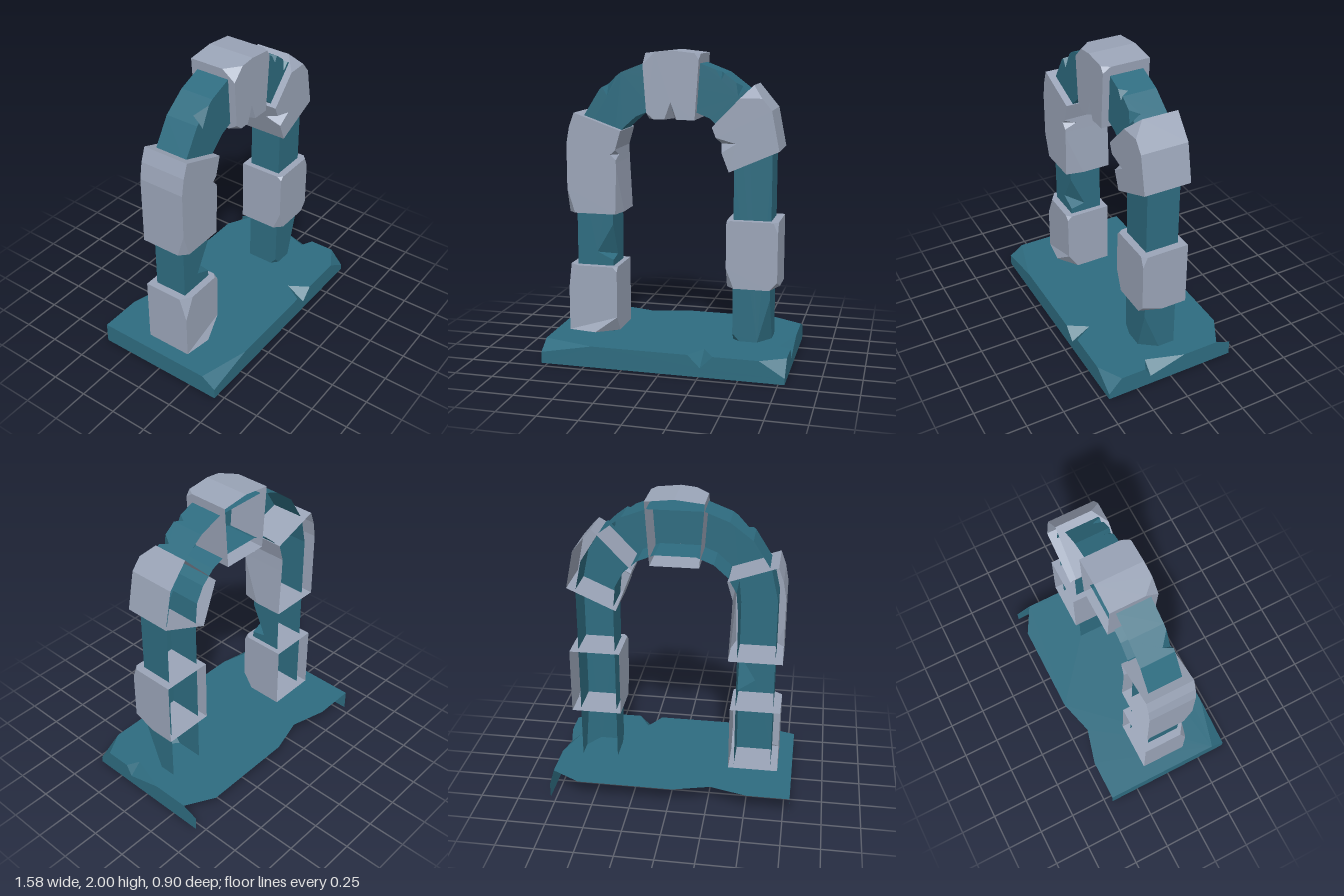
import * as THREE from 'three';

const V2 = (x, y) => new THREE.Vector2(x, y);

// Open-backed faceted shell: a cap at depth `front` and walls running to `back`.
// corners: [x, y, options], counter-clockwise.
//   cut:   [along previous edge, along next edge, depth, lift] chips the corner
//   notch: [start, end, apexX, apexY, deepest, depth] breaks the next edge
//   open:  no wall on the next edge;  bare: leaves the chip unfilled
function shell(corners, front, back) {
  const pos = [];
  const tri = (...pts) => pts.forEach((p) => pos.push(p.x, p.y, p.z));
  const n = corners.length;
  const data = corners.map(([x, y, o = {}], i) => {
    const at = V2(x, y);
    const [px, py] = corners[(i + n - 1) % n];
    const [nx, ny] = corners[(i + 1) % n];
    const toPrev = V2(px - x, py - y).normalize();
    const toNext = V2(nx - x, ny - y);
    const len = toNext.length();
    return { at, o, toPrev, dir: toNext.normalize(), len };
  });
  const cap = [];
  data.forEach((c, i) => {
    const next = data[(i + 1) % n];
    const point = (s, w) => new THREE.Vector3(c.at.x + c.dir.x * s, c.at.y + c.dir.y * s, w);
    // corner chip
    if (c.o.cut) {
      const [da, db, depth, lift = 0] = c.o.cut;
      const a = new THREE.Vector3(c.at.x + c.toPrev.x * da, c.at.y + c.toPrev.y * da, front + lift);
      const b = point(db, front);
      cap.push(a, b);
      if (!c.o.bare) tri(a, point(0, front - depth), b);
    } else cap.push(point(0, front));
    // wall outline in (distance along edge, depth)
    const wall = [V2(0, back), V2(c.len, back)];
    if (next.o.cut) {
      const [da, , depth, lift = 0] = next.o.cut;
      wall.push(V2(c.len, front - depth), V2(c.len - da, front + lift));
    } else wall.push(V2(c.len, front));
    // edge notch
    if (c.o.notch) {
      const [s, e, qx, qy, m, depth] = c.o.notch;
      const p = point(s, front), r = point(e, front), d = point(m, front - depth);
      const q = new THREE.Vector3(qx, qy, front);
      cap.push(p, q, r);
      tri(p, d, q);
      tri(d, r, q);
      wall.push(V2(e, front), V2(m, front - depth), V2(s, front));
    }
    if (c.o.cut) wall.push(V2(c.o.cut[1], front), V2(0, front - c.o.cut[2]));
    else wall.push(V2(0, front));
    if (!c.o.open) {
      THREE.ShapeUtils.triangulateShape(wall, []).forEach((f) =>
        tri(...f.map((k) => point(wall[k].x, wall[k].y))));
    }
  });
  THREE.ShapeUtils.triangulateShape(cap.map((p) => V2(p.x, p.y)), []).forEach((f) =>
    tri(...f.map((k) => cap[k])));
  const geo = new THREE.BufferGeometry();
  geo.setAttribute('position', new THREE.Float32BufferAttribute(pos, 3));
  geo.computeVertexNormals();
  return geo;
}

export function createModel() {
  const group = new THREE.Group();
  const teal = new THREE.MeshStandardMaterial({ color: 0x2e6c80, side: THREE.DoubleSide, flatShading: true });
  teal.name = 'teal stone';
  const grey = new THREE.MeshStandardMaterial({ color: 0x9ba5b8, side: THREE.DoubleSide, flatShading: true });
  grey.name = 'grey stone';
  const add = (name, geo, mat) => {
    const mesh = new THREE.Mesh(geo, mat);
    mesh.name = name;
    group.add(mesh);
  };

  // Base slab: the cap is its top, the back and underside are open
  const base = shell([
    [-0.79, -0.45, { cut: [0.095, 0.34, 0.065], notch: [0.97, 1.13, 0.26, -0.32, 1.05, 0.08] }],
    [0.79, -0.45, { cut: [0.16, 0.09, 0.1], notch: [0.26, 0.55, 0.71, -0.15, 0.3, 0.075] }],
    [0.79, 0.45, { cut: [0.105, 0.19, 0.04], bare: true, open: true }],
    [-0.03, 0.45, { open: true }],
    [-0.27, 0.385, { open: true }],
    [-0.51, 0.45, { open: true }],
    [-0.79, 0.45],
  ], 0.14, 0);
  base.rotateX(-Math.PI / 2);
  add('baseSlab', base, teal);

  // Posts and arch in one hollow band
  add('archBand', shell([
    [0.642, 0.14, { cut: [0.08, 0.29, 0.11] }],
    [0.642, 1.36], [0.6, 1.56],
    [0.48, 1.75, { notch: [0.02, 0.09, 0.42, 1.72, 0.05, 0.06] }],
    [0.335, 1.86, { notch: [0.0001, 0.06, 0.315, 1.82, 0.03, 0.05] }],
    [0.18, 1.92], [-0.18, 1.92],
    [-0.335, 1.86, { notch: [0.04, 0.16, -0.43, 1.71, 0.13, 0.06] }],
    [-0.48, 1.75], [-0.6, 1.56], [-0.645, 1.36],
    [-0.645, 0.14, { open: true }],
    [-0.4, 0.14, { notch: [0.49, 0.73, -0.51, 0.68, 0.51, 0.1] }],
    [-0.4, 1.25], [-0.385, 1.4], [-0.33, 1.5], [-0.24, 1.58], [-0.13, 1.625],
    [0.13, 1.625], [0.24, 1.58], [0.33, 1.5], [0.385, 1.4], [0.4, 1.25],
    [0.4, 0.14, { cut: [0.05, 0.045, 0.04], open: true }],
  ], 0.118, -0.105), teal);

  // Grey blocks wrapped around the band
  const blocks = {
    rightLowerBlock: [
      [-0.695, 0.146],
      [-0.365, 0.146, { cut: [0.145, 0.105, 0.07, 0.028] }],
      [-0.365, 0.59, { cut: [0.03, 0.03, 0.03] }],
      [-0.695, 0.59, { cut: [0.07, 0.15, 0.05] }],
    ],
    rightUpperBlock: [
      [-0.695, 0.945, { cut: [0.16, 0.05, 0.05] }],
      [-0.345, 0.945, { cut: [0.025, 0.3, 0.12] }],
      [-0.362, 1.28, { notch: [0.02, 0.085, -0.4, 1.335, 0.05, 0.08] }],
      [-0.365, 1.37], [-0.33, 1.49], [-0.642, 1.6], [-0.675, 1.51], [-0.695, 1.4],
    ],
    keystone: [
      [-0.155, 1.57, { cut: [0.04, 0.045, 0.06], notch: [0.115, 0.195, 0, 1.68, 0.155, 0.1] }],
      [0.155, 1.57],
      [0.183, 1.98, { cut: [0.035, 0.03, 0.05] }],
      [0, 2],
      [-0.185, 1.98, { cut: [0.085, 0.07, 0.085] }],
    ],
    leftUpperBlock: [
      [0.375, 1.25], [0.69, 1.39], [0.64, 1.64],
      [0.515, 1.79, { cut: [0.1, 0.11, 0.075] }],
      [0.265, 1.53, { notch: [0.07, 0.17, 0.42, 1.43, 0.12, 0.1] }],
    ],
    leftMiddleBlock: [
      [0.362, 0.503, { cut: [0.13, 0.05, 0.05] }],
      [0.692, 0.503, { cut: [0.05, 0.055, 0.14] }],
      [0.692, 0.942, { cut: [0.07, 0.03, 0.03] }],
      [0.362, 0.942, { cut: [0.025, 0.025, 0.03] }],
    ],
  };
  for (const [name, outline] of Object.entries(blocks)) add(name, shell(outline, 0.165, -0.148), grey);

  return group;
}
